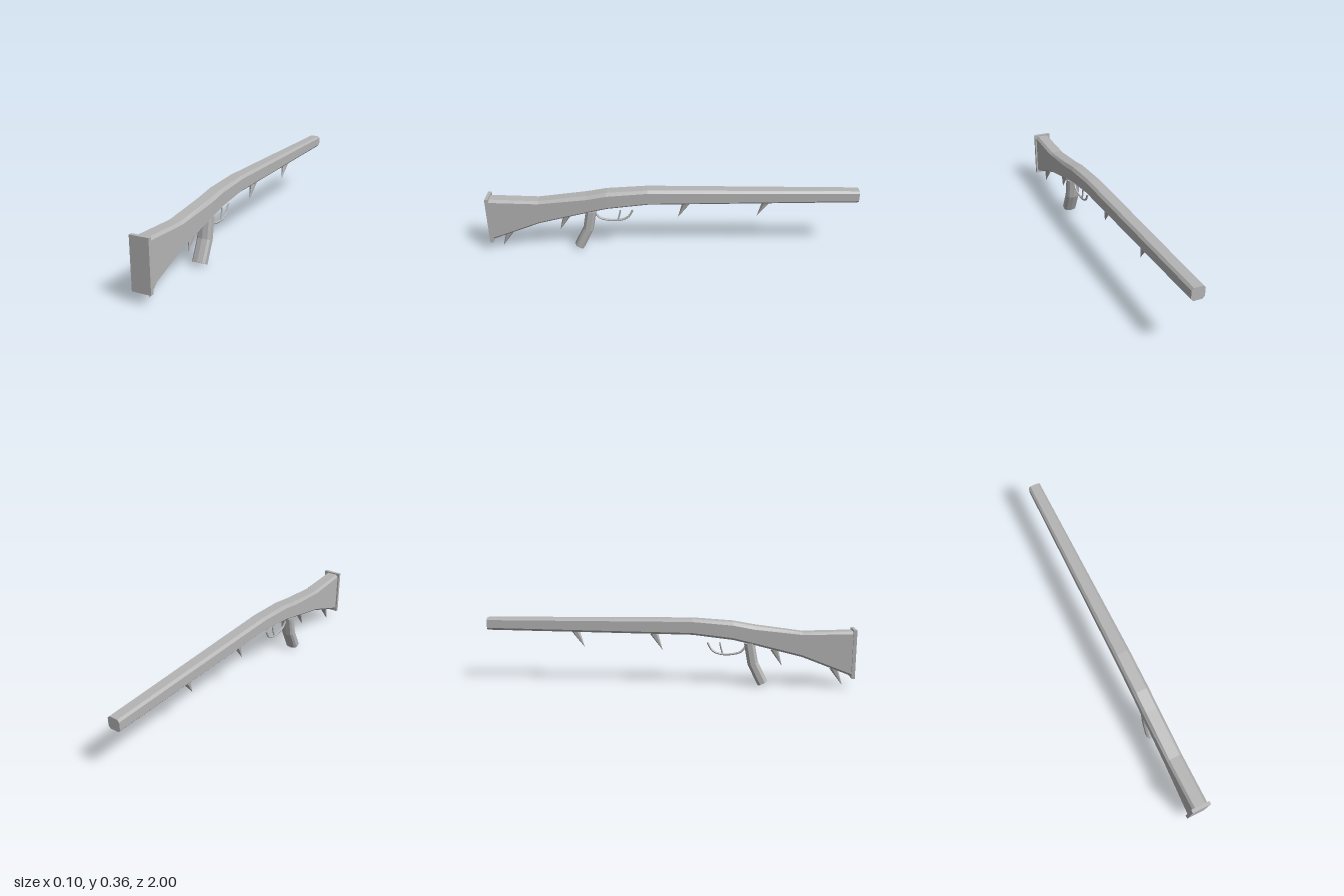
import * as THREE from 'three';

// Faceted solid through a list of rings, each wound counter-clockwise seen from the first end
function loft(rings) {
  const pos = [];
  const tri = (a, b, c) => pos.push(...a, ...b, ...c);
  const n = rings[0].length;
  for (let i = 0; i < rings.length - 1; i++) {
    for (let j = 0; j < n; j++) {
      const k = (j + 1) % n, a = rings[i], b = rings[i + 1];
      tri(a[j], b[j], b[k]);
      tri(a[j], b[k], a[k]);
    }
  }
  const first = rings[0], last = rings[rings.length - 1];
  for (let j = 1; j < n - 1; j++) {
    tri(first[0], first[j], first[j + 1]);
    tri(last[0], last[j + 1], last[j]);
  }
  const g = new THREE.BufferGeometry();
  g.setAttribute('position', new THREE.Float32BufferAttribute(pos, 3));
  g.computeVertexNormals();
  return g;
}

export function createModel() {
  const group = new THREE.Group();
  const grey = new THREE.MeshStandardMaterial({ color: 0xb4b4b4, flatShading: true });
  grey.name = 'plain grey';
  const add = (name, geometry) => {
    const m = new THREE.Mesh(geometry, grey);
    m.name = name;
    group.add(m);
    return m;
  };

  // Stock and barrel: chamfered sections [z, top, bottom, half width, top chamfer]
  const stations = [
    [0.985, 0.312, 0.068, 0.041, 0.014],
    [0.72, 0.302, 0.168, 0.042, 0.012],
    [0.46, 0.334, 0.231, 0.043, 0.018],
    [0.35, 0.353, 0.256, 0.043, 0.017],
    [0.13, 0.367, 0.281, 0.042, 0.014],
    [-1, 0.359, 0.293, 0.034, 0.011],
  ];
  add('stockAndBarrel', loft(stations.map(([z, t, b, w, c]) => {
    const f = w * 0.68, d = 0.012;
    return [
      [w, b + d, z], [w, t - c, z], [f, t, z], [-f, t, z],
      [-w, t - c, z], [-w, b + d, z], [-f, b, z], [f, b, z],
    ];
  })));

  // Butt plate
  add('buttPlate', new THREE.BoxGeometry(0.1, 0.262, 0.018)).position.set(0, 0.189, 0.991);

  // Curved magazine: ten-sided sections [y, z, tilt]
  const outline = [
    [0.037, 0.013], [0.037, -0.013], [0.027, -0.024], [0, -0.029], [-0.027, -0.024],
    [-0.037, -0.013], [-0.037, 0.013], [-0.027, 0.024], [0, 0.029], [0.027, 0.024],
  ];
  add('magazine', loft([[0.238, 0.438, 0.15], [0.125, 0.459, 0.32], [0.016, 0.513, 0.47]].map(
    ([y, z, tilt]) => outline.map(([x, d]) => [x, y + d * Math.sin(tilt), z + d * Math.cos(tilt)]))));

  // Trigger guard and trigger
  const tube = (points, segments, radius) => new THREE.TubeGeometry(
    new THREE.CatmullRomCurve3(points.map(([y, z]) => new THREE.Vector3(0, y, z))), segments, radius, 6);
  add('triggerGuard', tube([[0.235, 0.425], [0.19, 0.4], [0.172, 0.345], [0.172, 0.285],
    [0.19, 0.24], [0.235, 0.212]], 16, 0.006));
  add('trigger', tube([[0.235, 0.28], [0.212, 0.284], [0.175, 0.295]], 4, 0.005));

  // Backward-raked spikes: [base y, base z, tip y, tip z]
  const spikes = [
    [0.11, 0.892, 0.01, 0.943], [0.208, 0.572, 0.11, 0.617],
    [0.285, -0.08, 0.187, -0.031], [0.292, -0.512, 0.197, -0.462],
  ];
  spikes.forEach(([by, bz, ty, tz], i) => {
    const base = new THREE.Vector3(0, by, bz), tip = new THREE.Vector3(0, ty, tz);
    const dir = tip.clone().sub(base);
    const m = add('spike' + (i + 1), new THREE.ConeGeometry(0.022, dir.length(), 6));
    m.position.copy(base).add(tip).multiplyScalar(0.5);
    m.quaternion.setFromUnitVectors(new THREE.Vector3(0, 1, 0), dir.normalize());
  });
  return group;
}
